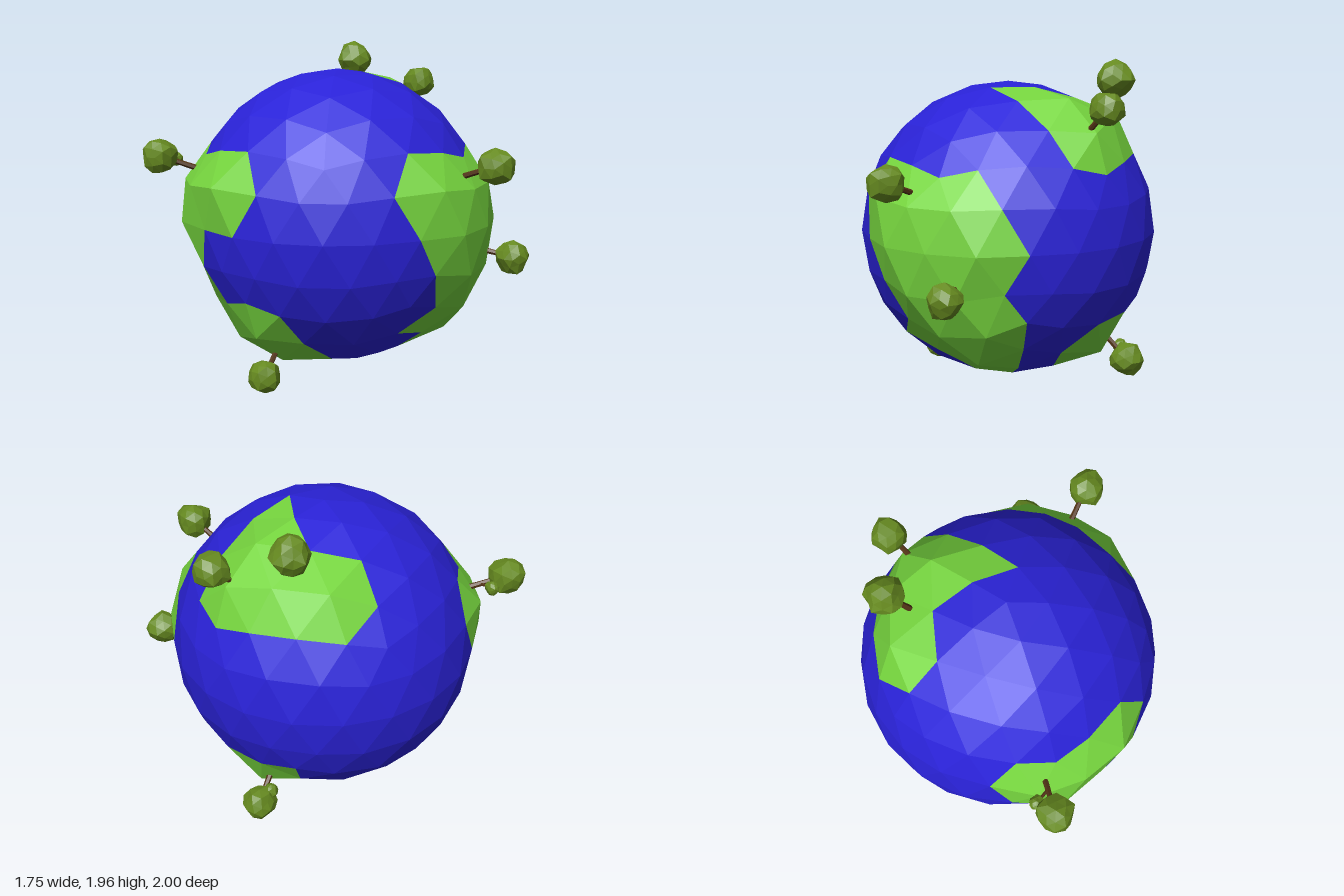
import * as THREE from 'three';

const RADIUS = 0.87, LAND_RADIUS = 0.93;
const CENTRE = new THREE.Vector3(0, 0.955, -0.13);

const mat = (color) => new THREE.MeshStandardMaterial({ color, flatShading: true });
const oceanMat = mat(0x2a22d8), landMat = mat(0x76d53e), leafMat = mat(0x668a20), barkMat = mat(0x553517);

// Unit vector from longitude (from +x towards +z) and latitude, in degrees
function dir(lon, lat) {
  const a = THREE.MathUtils.degToRad(lon), b = THREE.MathUtils.degToRad(lat);
  return new THREE.Vector3(Math.cos(b) * Math.cos(a), Math.sin(b), Math.cos(b) * Math.sin(a));
}

// Coastlines as [longitude, latitude] corners
const COASTS = {
  frontContinent: [[117.7, 16], [108, 31.7], [72, 26.6], [56, 30.1], [36, 0], [44.8, -14.5], [36, -26.6],
    [36, -75.5], [72, -63.4], [85.6, -46.3], [108, -41.1], [91.9, -30.1], [99.2, -14.5], [108, 0]],
  backContinent: [[232, 30.1], [216, 26.6], [180, 31.7], [170.3, 16], [180, 0], [198, 0], [206.3, -16],
    [196, -30.1], [180, -26.6], [164, -30.1], [157.6, -46.3], [144, -63.4], [180, -75.5], [252, -75.5],
    [252, -58.3], [229.7, -46.3], [216, -31.7], [225.8, -16], [234, 0], [242.3, 16]],
  topContinent: [[72, 75.5], [0, 75.5], [-36, 63.4], [-72, 58.3], [-72, 41.1], [-56, 30.1], [-36, 31.7],
    [0, 26.6], [16, 30.1], [22.4, 46.3], [36, 63.4]],
  island: [[0, -31.7], [-36, -26.6], [-36, -58.3], [0, -63.4], [13.6, -46.3]],
};

// Returns a test telling whether a direction lies inside a coastline,
// done on a flat projection around the middle of the region
function insideTest(corners) {
  const pts = corners.map(([lon, lat]) => dir(lon, lat));
  const n = pts.reduce((s, p) => s.add(p), new THREE.Vector3()).normalize();
  const u = new THREE.Vector3(0.31, 0.52, 0.79).cross(n).normalize();
  const v = n.clone().cross(u);
  const flat = (p) => [p.dot(u) / p.dot(n), p.dot(v) / p.dot(n)];
  const poly = pts.map(flat);
  return (p) => {
    if (p.dot(n) < 0.05) return false;
    const [x, y] = flat(p);
    let inside = false;
    poly.forEach(([x1, y1], i) => {
      const [x2, y2] = poly[(i + 1) % poly.length];
      if ((y1 > y) !== (y2 > y) && x < x1 + ((y - y1) / (y2 - y1)) * (x2 - x1)) inside = !inside;
    });
    return inside;
  };
}

// Icosphere with a corner at each pole
function poleIcosphere(radius, detail) {
  const verts = [0, 1, 0, 0, -1, 0], faces = [];
  for (let k = 0; k < 5; k++) verts.push(...dir(72 * k, 26.565).toArray());
  for (let k = 0; k < 5; k++) verts.push(...dir(36 + 72 * k, -26.565).toArray());
  for (let k = 0; k < 5; k++) {
    const j = (k + 1) % 5, a = 2 + k, b = 2 + j, c = 7 + k, d = 7 + j;
    faces.push(0, b, a, a, b, c, d, c, b, 1, c, d);
  }
  return new THREE.PolyhedronGeometry(verts, faces, radius, detail);
}

// Planet: faces sorted into ocean and raised land
function createPlanet() {
  const planet = new THREE.Group();
  planet.name = 'planet';
  const pos = poleIcosphere(1, 3).attributes.position;
  const key = (p) => p.toArray().map((c) => Math.round(c * 1000)).join();
  const regions = Object.entries(COASTS).map(([name, c]) => ({ name, inside: insideTest(c), faces: [] }));
  const ocean = { name: 'ocean', faces: [] };
  const coastal = new Set();
  for (let i = 0; i < pos.count; i += 3) {
    const tri = [0, 1, 2].map((j) => new THREE.Vector3().fromBufferAttribute(pos, i + j));
    const mid = tri[0].clone().add(tri[1]).add(tri[2]).normalize();
    const region = regions.find((r) => r.inside(mid)) || ocean;
    region.faces.push(tri);
    if (region === ocean) tri.forEach((p) => coastal.add(key(p)));
  }
  for (const { name, faces } of [ocean, ...regions]) {
    const points = faces.flat().map((p) => p.clone().multiplyScalar(coastal.has(key(p)) ? RADIUS : LAND_RADIUS));
    const geo = new THREE.BufferGeometry().setFromPoints(points);
    geo.computeVertexNormals();
    const mesh = new THREE.Mesh(geo, name === 'ocean' ? oceanMat : landMat);
    mesh.name = name;
    planet.add(mesh);
  }
  planet.position.copy(CENTRE);
  return planet;
}

// Lumpy faceted ball of leaves
function createFoliage(centre, radius, seed) {
  const geo = new THREE.IcosahedronGeometry(1, 1);
  const pos = geo.attributes.position, p = new THREE.Vector3();
  for (let i = 0; i < pos.count; i++) {
    p.fromBufferAttribute(pos, i);
    const lump = Math.sin(p.x * 5.1 + seed * 2.3) + Math.sin(p.y * 6.3 + seed * 1.7) + Math.sin(p.z * 5.7 + seed * 3.1);
    p.multiplyScalar(radius * (1 + 0.055 * lump));
    pos.setXYZ(i, p.x, p.y, p.z);
  }
  geo.computeVertexNormals();
  const mesh = new THREE.Mesh(geo, leafMat);
  mesh.name = 'foliage';
  mesh.position.copy(centre);
  return mesh;
}

// Tapered stick between two points
function createStick(name, from, to, r0, r1) {
  const axis = to.clone().sub(from);
  const mesh = new THREE.Mesh(new THREE.CylinderGeometry(r1, r0, axis.length(), 6), barkMat);
  mesh.name = name;
  mesh.position.copy(from).addScaledVector(axis, 0.5);
  mesh.quaternion.setFromUnitVectors(new THREE.Vector3(0, 1, 0), axis.normalize());
  return mesh;
}

// Tree growing straight out of the planet, with an optional leafy twig
function createTree({ at, r, twig }, i) {
  const tree = new THREE.Group();
  tree.name = 'tree' + (i + 1);
  const top = new THREE.Vector3(...at);
  const out = top.clone().sub(CENTRE).normalize();
  const base = CENTRE.clone().addScaledVector(out, 0.85);
  tree.add(createStick('trunk', base, top, 0.018, 0.013), createFoliage(top, r, i + 1));
  if (twig) {
    const tip = new THREE.Vector3(...twig);
    const fork = CENTRE.clone().addScaledVector(out, 0.95);
    tree.add(createStick('twig', fork, tip, 0.01, 0.007), createFoliage(tip, 0.042, i + 5));
  }
  return tree;
}

const TREES = [
  { at: [0.54, 1.84, -0.46], r: 0.108 },
  { at: [0.78, 1.7, -0.12], r: 0.096 },
  { at: [0.14, 1.33, 0.89], r: 0.105 },
  { at: [0.495, 0.745, 0.795], r: 0.098 },
  { at: [0.73, 0.24, -0.39], r: 0.096, twig: [0.66, 0.3, -0.41] },
  { at: [-0.64, 0.1, -0.13], r: 0.097 },
  { at: [-0.78, 1.33, -0.82], r: 0.104, twig: [-0.66, 1.3, -0.82] },
];

export function createModel() {
  const model = new THREE.Group();
  model.name = 'treePlanet';
  model.add(createPlanet(), ...TREES.map(createTree));
  return model;
}
